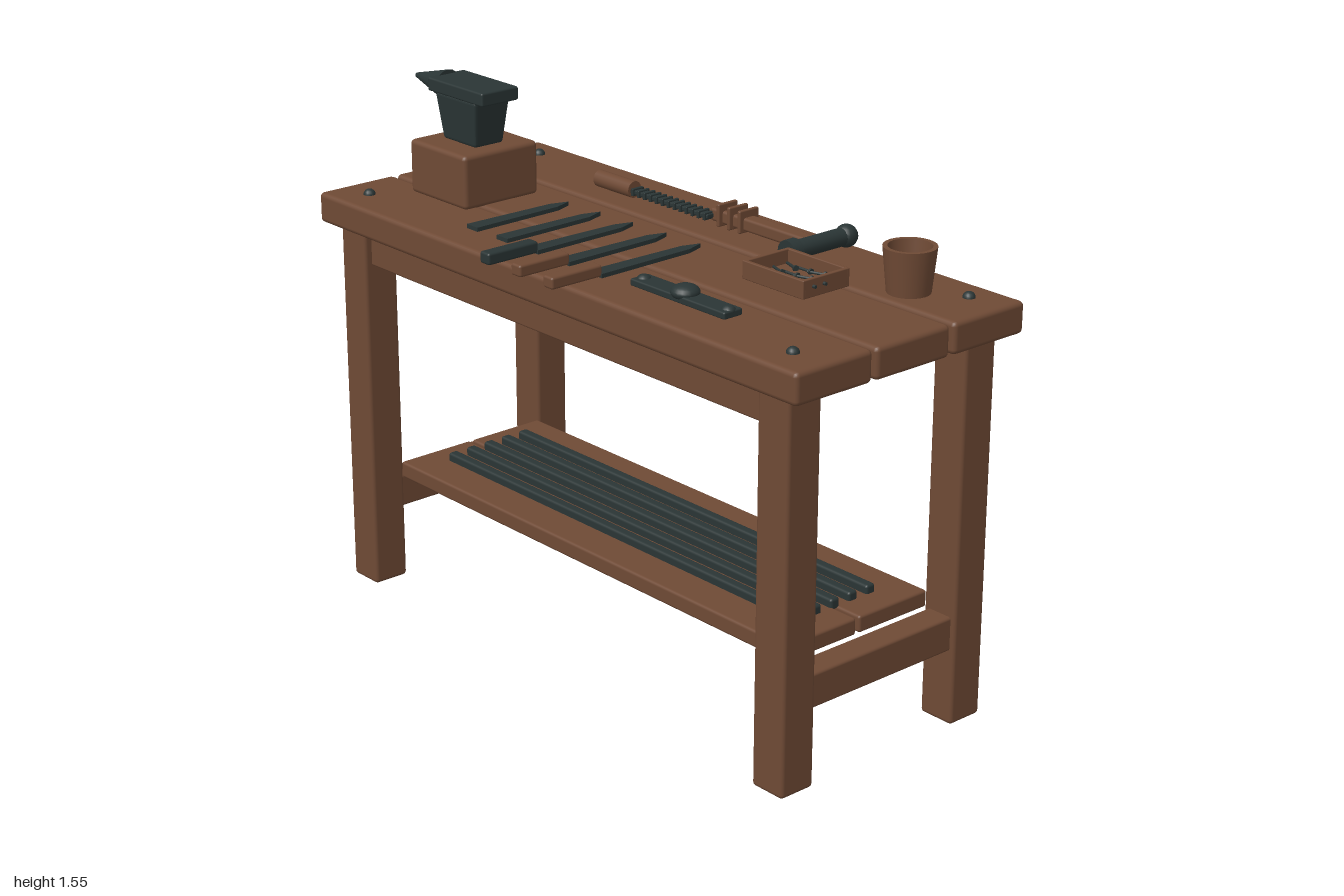
import * as THREE from 'three';
import { RoundedBoxGeometry } from 'three/addons/geometries/RoundedBoxGeometry.js';

export function createModel() {
  const wood = new THREE.MeshStandardMaterial({ color: 0x6f4a35 });
  wood.name = 'wood';
  const iron = new THREE.MeshStandardMaterial({ color: 0x2a3535 });
  iron.name = 'iron';
  const root = new THREE.Group();
  root.name = 'workbench';
  const TOP = 1.205;

  const section = (name) => {
    const g = new THREE.Group();
    g.name = name;
    root.add(g);
    return g;
  };
  const add = (parent, name, geometry, material, x = 0, y = 0, z = 0) => {
    const m = new THREE.Mesh(geometry, material);
    m.name = name;
    m.position.set(x, y, z);
    parent.add(m);
    return m;
  };
  // Box with softened edges, given by its extents
  const block = (parent, name, mat, [x0, x1], [y0, y1], [z0, z1], r = 0.012) =>
    add(parent, name, new RoundedBoxGeometry(x1 - x0, y1 - y0, z1 - z0, 2, r), mat,
      (x0 + x1) / 2, (y0 + y1) / 2, (z0 + z1) / 2);
  const rod = (parent, name, mat, axis, rEnd, rStart, len, x, y, z, sides = 16) => {
    const g = new THREE.CylinderGeometry(rEnd, rStart, len, sides);
    if (axis === 'x') g.rotateZ(-Math.PI / 2);
    if (axis === 'z') g.rotateX(Math.PI / 2);
    return add(parent, name, g, mat, x, y, z);
  };

  // Table top
  const table = section('table');
  for (const z of [[-0.44, -0.175], [-0.16, 0.105], [0.118, 0.383]])
    block(table, 'topPlank', wood, [-1, 1], [1.115, TOP], z, 0.014);

  // Legs, side stretchers and bolts
  for (const s of [-1, 1]) {
    const span = (a, b) => (s > 0 ? [a, b] : [-b, -a]);
    for (const z of [[0.235, 0.35], [-0.4, -0.285]])
      block(table, 'leg', wood, span(0.828, 0.942), [0, 1.12], z);
    block(table, 'sideStretcher', wood, span(0.843, 0.927), [0.22, 0.32], [-0.3, 0.25], 0.008);
    for (const z of [-0.35, 0.285]) {
      const bolt = new THREE.SphereGeometry(0.018, 12, 6, 0, Math.PI * 2, 0, Math.PI / 2);
      add(table, 'bolt', bolt, iron, s * 0.885, TOP - 0.001, z);
    }
  }

  // Aprons and shelf
  for (const z of [[0.27, 0.325], [-0.375, -0.32]])
    block(table, 'apron', wood, [-0.84, 0.84], [1.01, 1.12], z, 0.006);
  for (const z of [[-0.287, -0.03], [-0.018, 0.239]])
    block(table, 'shelfPlank', wood, [-0.835, 0.835], [0.32, 0.37], z, 0.008);
  for (let i = 0; i < 5; i++) {
    const z = 0.11 - i * 0.067;
    block(table, 'metalBar', iron, [-0.75, 0.75], [0.362, 0.395], [z - 0.016, z + 0.016], 0.008);
  }

  // Anvil on its wooden block
  const anvil = section('anvil');
  block(anvil, 'anvilBlock', wood, [-0.835, -0.575], [TOP - 0.003, 1.362], [-0.095, 0.173], 0.014);
  const waist = new RoundedBoxGeometry(0.19, 0.14, 0.13, 2, 0.01);
  const p = waist.attributes.position;
  for (let i = 0; i < p.count; i++) {
    const k = 0.89 + p.getY(i) * 1.5;
    p.setX(i, p.getX(i) * k);
    p.setZ(i, p.getZ(i) * k);
  }
  waist.computeVertexNormals();
  add(anvil, 'anvilBody', waist, iron, -0.705, 1.43, 0.04);
  block(anvil, 'anvilFace', iron, [-0.83, -0.575], [1.495, 1.535], [-0.027, 0.106], 0.006);
  rod(anvil, 'anvilHorn', iron, 'x', 0.045, 0.007, 0.15, -0.893, 1.503, 0.04, 16);

  // Cup with an open top
  const cupProfile = [[0, 0], [0.06, 0], [0.073, 0.127], [0.06, 0.127], [0.05, 0.015], [0, 0.015]]
    .map(([x, y]) => new THREE.Vector2(x, y));
  // Each wall is turned separately to keep its edges sharp
  const cup = section('cup');
  for (let i = 0; i < cupProfile.length - 1; i++)
    add(cup, 'cupWall', new THREE.LatheGeometry([cupProfile[i], cupProfile[i + 1]], 24), wood, 0.75, TOP, -0.265);

  // Ball hammer
  const hammer = section('hammer');
  block(hammer, 'hammerHandle', wood, [-0.035, 0.36], [1.212, 1.25], [-0.32, -0.276], 0.008);
  for (const x of [0.012, 0.055, 0.098])
    block(hammer, 'handleRing', wood, [x - 0.006, x + 0.006], [1.206, 1.272], [-0.334, -0.262], 0.004);
  rod(hammer, 'hammerHead', iron, 'z', 0.026, 0.026, 0.2, 0.375, 1.238, -0.302);
  rod(hammer, 'hammerFace', iron, 'z', 0.034, 0.034, 0.035, 0.375, 1.238, -0.198);
  add(hammer, 'hammerBall', new THREE.SphereGeometry(0.033, 16, 12), iron, 0.375, 1.238, -0.407);

  // Toothed file
  const file = section('file');
  rod(file, 'fileHandle', wood, 'x', 0.025, 0.025, 0.155, -0.425, 1.232, -0.267);
  block(file, 'fileBlade', iron, [-0.35, -0.02], [1.223, 1.236], [-0.282, -0.252], 0.003);
  for (let i = 0; i < 13; i++) {
    const x = -0.335 + i * 0.0255;
    block(file, 'fileTooth', iron, [x - 0.005, x + 0.005], [1.219, 1.241], [-0.288, -0.246], 0.002);
  }

  // Nail tray
  const tray = section('nailTray');
  block(tray, 'trayFloor', wood, [0.385, 0.615], [TOP, 1.217], [-0.178, -0.01], 0.003);
  for (const z of [-0.178, -0.02])
    block(tray, 'trayLongWall', wood, [0.385, 0.618], [TOP, 1.257], [z, z + 0.012], 0.003);
  for (const x of [0.385, 0.606])
    block(tray, 'trayEndWall', wood, [x, x + 0.012], [TOP, 1.257], [-0.17, -0.015], 0.003);
  for (const z of [-0.045, -0.083])
    rod(tray, 'wallNail', iron, 'x', 0.005, 0.005, 0.012, 0.621, 1.235, z, 8);
  for (let row = 0; row < 3; row++)
    for (let i = 0; i < 4; i++) {
      const nail = new THREE.Group();
      nail.name = 'nail';
      nail.position.set(0.432 + i * 0.045, 1.223, -0.145 + row * 0.05 - i * 0.003);
      nail.rotation.y = ((i * 7 + row * 5) % 5 - 2) * 0.16;
      tray.add(nail);
      rod(nail, 'nailShank', iron, 'x', 0.004, 0.004, 0.055, 0, 0, 0, 8);
      rod(nail, 'nailHead', iron, 'x', 0.009, 0.009, 0.006, 0.026, 0, 0, 8);
    }

  // Flat hinge plate with a centre dome
  const plate = section('hingePlate');
  block(plate, 'plate', iron, [0.23, 0.597], [TOP - 0.002, 1.224], [0.186, 0.25], 0.005);
  const dome = add(plate, 'plateDome', new THREE.SphereGeometry(0.04, 20, 12), iron, 0.413, 1.227, 0.218);
  dome.scale.y = 0.55;
  for (const x of [0.25, 0.578])
    add(plate, 'plateRivet', new THREE.SphereGeometry(0.02, 14, 8), iron, x, 1.22, 0.218).scale.y = 0.7;

  // Row of blades, three of them with grips
  const knives = section('knives');
  const grips = [null, null, iron, wood, wood];
  grips.forEach((grip, i) => {
    const x = -0.42 + i * 0.134;
    const tip = -0.08 - i * 0.006;
    const outline = [[-0.024, 0.27], [0.024, 0.27], [0.018, tip + 0.055], [0, tip], [-0.018, tip + 0.055]];
    const shape = new THREE.Shape(outline.map(([a, z]) => new THREE.Vector2(a, -z)));
    const g = new THREE.ExtrudeGeometry(shape, { depth: 0.012, bevelEnabled: false });
    g.rotateX(-Math.PI / 2);
    add(knives, 'blade', g, iron, x, TOP, 0);
    if (grip) block(knives, 'grip', grip, [x - 0.02, x + 0.02], [1.207, 1.241], [0.265, 0.437], 0.007);
  });

  return root;
}
